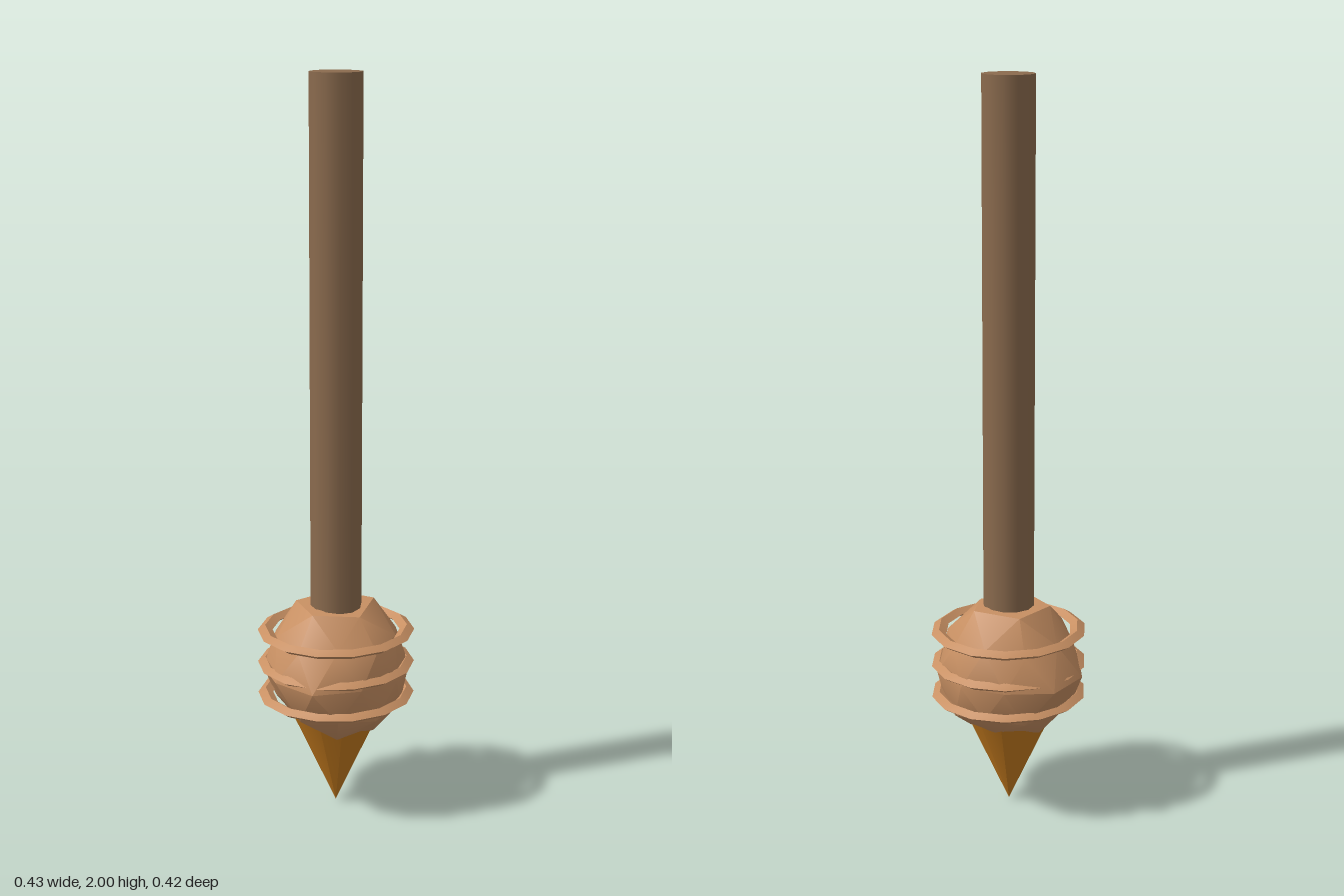
import * as THREE from 'three';
import { mergeVertices, toCreasedNormals } from 'three/addons/utils/BufferGeometryUtils.js';
import { ConvexGeometry } from 'three/addons/geometries/ConvexGeometry.js';

const mat = (name, color) => new THREE.MeshStandardMaterial({ name, color });

// Lumpy body: a subdivided icosahedron whose rows carry their own radii.
// Each row: latitude, first longitude, longitude step, radii
const ROWS = [
  [90, 0, 0, [0.185]],
  [58.28, 0, 72, [0.2, 0.215, 0.21, 0.21, 0.21]],
  [26.57, 0, 72, [0.2, 0.2, 0.195, 0.19, 0.2]],
  [31.72, 36, 72, [0.2, 0.205, 0.195, 0.2, 0.195]],
  [0, 18, 36, [0.2, 0.203, 0.203, 0.2, 0.226, 0.212, 0.198, 0.205, 0.226, 0.2]],
  [-26.57, 36, 72, [0.205, 0.2, 0.195, 0.17, 0.205]],
  [-31.72, 0, 72, [0.205, 0.205, 0.2, 0.2, 0.2]],
  [-58.28, 36, 72, [0.21, 0.19, 0.2, 0.185, 0.205]],
  [-90, 0, 0, [0.2]],
];

function lumpyBody() {
  const dirs = [], radii = [];
  for (const [lat, start, step, list] of ROWS) {
    list.forEach((r, i) => {
      const a = THREE.MathUtils.degToRad(lat);
      const b = THREE.MathUtils.degToRad(start + i * step);
      dirs.push(new THREE.Vector3(Math.cos(a) * Math.cos(b), Math.sin(a), -Math.cos(a) * Math.sin(b)));
      radii.push(r);
    });
  }
  let geo = new ConvexGeometry(dirs);
  const pos = geo.attributes.position;
  const v = new THREE.Vector3();
  for (let i = 0; i < pos.count; i++) {
    v.fromBufferAttribute(pos, i);
    const k = dirs.findIndex((d) => d.distanceToSquared(v) < 1e-4);
    v.multiplyScalar(radii[k]);
    pos.setXYZ(i, v.x, v.y, v.z);
  }
  geo.deleteAttribute('normal');
  geo = mergeVertices(geo);
  return toCreasedNormals(geo, 0.6);
}

export function createModel() {
  const model = new THREE.Group();
  model.name = 'dipper';
  const shaftBrown = mat('shaftBrown', 0x8b6b4e);
  const bodyTan = mat('bodyTan', 0xc89063);
  const tipAmber = mat('tipAmber', 0xc47a1e);

  const add = (name, geo, material, y, x = 0.004) => {
    const mesh = new THREE.Mesh(geo, material);
    mesh.name = name;
    mesh.position.set(x, y, 0);
    model.add(mesh);
    return mesh;
  };

  // Long straight handle
  add('shaft', new THREE.CylinderGeometry(0.07, 0.07, 1.44, 12), shaftBrown, 1.28);

  // Rounded, uneven head
  add('body', lumpyBody(), bodyTan, 0.4, 0);

  // Three sharp-edged bands round the head
  const ringGeo = new THREE.TorusGeometry(0.19, 0.02, 4, 14);
  ringGeo.rotateX(Math.PI / 2);
  ringGeo.scale(1, 0.65, 1.03);
  const flatRing = toCreasedNormals(ringGeo, 0.6);
  [0.325, 0.415, 0.507].forEach((y, i) => add('ring' + (i + 1), flatRing, bodyTan, y));

  // Pointed tip, sunk into the head
  const cone = new THREE.ConeGeometry(0.165, 0.365, 12);
  cone.rotateX(Math.PI);
  add('tip', cone, tipAmber, 0.1825, 0.003);

  return model;
}
